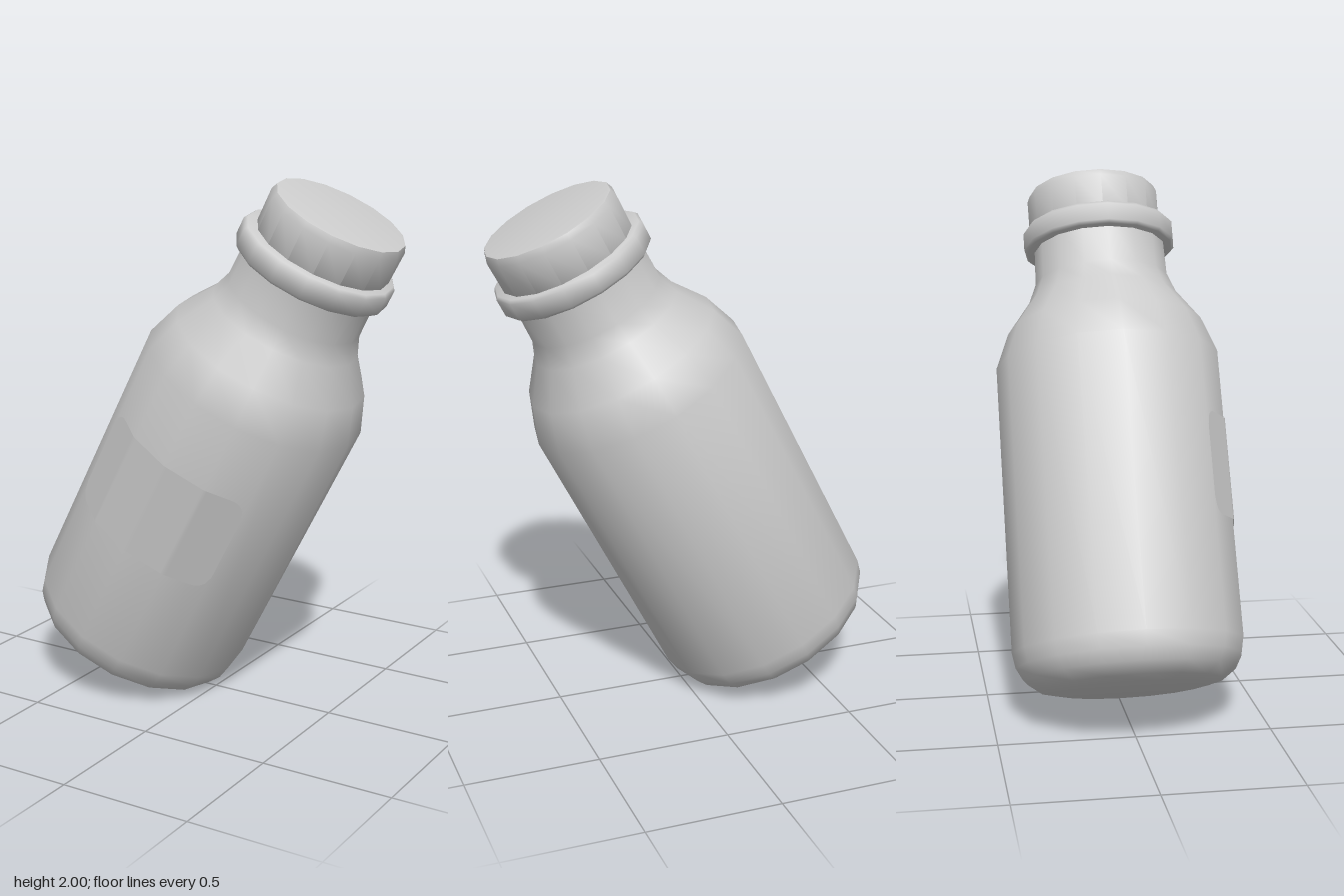
import * as THREE from 'three';
import { toCreasedNormals } from 'three/addons/utils/BufferGeometryUtils.js';

const SIDES = 16;
const RADIUS = 0.431;
const TILT = 0.48;

const grey = new THREE.MeshStandardMaterial({ color: 0xcccccc });
const greyThin = new THREE.MeshStandardMaterial({ color: 0xcccccc, side: THREE.DoubleSide });

// Sixteen-sided turned part from [radius, height] pairs, bottom to top
function turned(name, profile, crease) {
  const points = profile.map(([r, y]) => new THREE.Vector2(r, y));
  const mesh = new THREE.Mesh(toCreasedNormals(new THREE.LatheGeometry(points, SIDES), crease), grey);
  mesh.name = name;
  return mesh;
}

// Thin rounded-corner label wrapped on the faceted wall, centred on the front
function makeLabel() {
  const half = Math.PI / 4, low = 0.53, high = 0.92, corner = 0.06;
  const step = (2 * Math.PI) / SIDES;
  const geometry = new THREE.PlaneGeometry(2, 2, 64, 1);
  const pos = geometry.attributes.position;
  for (let i = 0; i < pos.count; i++) {
    const a = pos.getX(i) * half;
    // distance to the wall along this angle, following its flat facets
    const within = a - Math.floor(a / step) * step - step / 2;
    const r = (RADIUS + 0.005) * Math.cos(step / 2) / Math.cos(within);
    // shorten the columns near both ends to round the corners
    const into = Math.max(0, corner - (half - Math.abs(a)) * RADIUS);
    const inset = corner - Math.sqrt(Math.max(0, corner * corner - into * into));
    const y = pos.getY(i) > 0 ? high - inset : low + inset;
    pos.setXYZ(i, Math.sin(a) * r, y, Math.cos(a) * r);
  }
  geometry.computeVertexNormals();
  const mesh = new THREE.Mesh(geometry, greyThin);
  mesh.name = 'label';
  return mesh;
}

export function createModel() {
  const model = new THREE.Group();
  model.name = 'tiltedBottle';

  const bottle = new THREE.Group();
  bottle.name = 'bottle';

  // Body with rounded base, sloping shoulder and narrow neck
  bottle.add(turned('body', [
    [0, -0.055], [0.27, -0.055], [0.34, -0.04], [0.395, 0.0], [0.42, 0.045], [RADIUS, 0.1],
    [RADIUS, 1.19], [0.379, 1.329], [0.29, 1.455], [0.261, 1.53], [0.256, 1.7],
  ], 0.9));

  // Collar ring with softened rims
  bottle.add(turned('collarRing', [
    [0.24, 1.665], [0.285, 1.665], [0.297, 1.677], [0.297, 1.743], [0.287, 1.755], [0.2, 1.755],
  ], 0.9));

  // Cap, set slightly back from the bottle axis
  const cap = turned('cap', [
    [0.24, 1.73], [0.258, 1.745], [0.26, 1.88], [0.25, 1.905], [0.24, 1.907], [0, 1.907],
  ], 0.9);
  cap.position.set(0.003, 0, -0.013);
  bottle.add(cap);

  bottle.add(makeLabel());

  // Lean the whole bottle over its lower edge
  bottle.rotation.z = -TILT;
  bottle.position.set(-0.377, 0.196, 0);
  model.add(bottle);
  return model;
}
